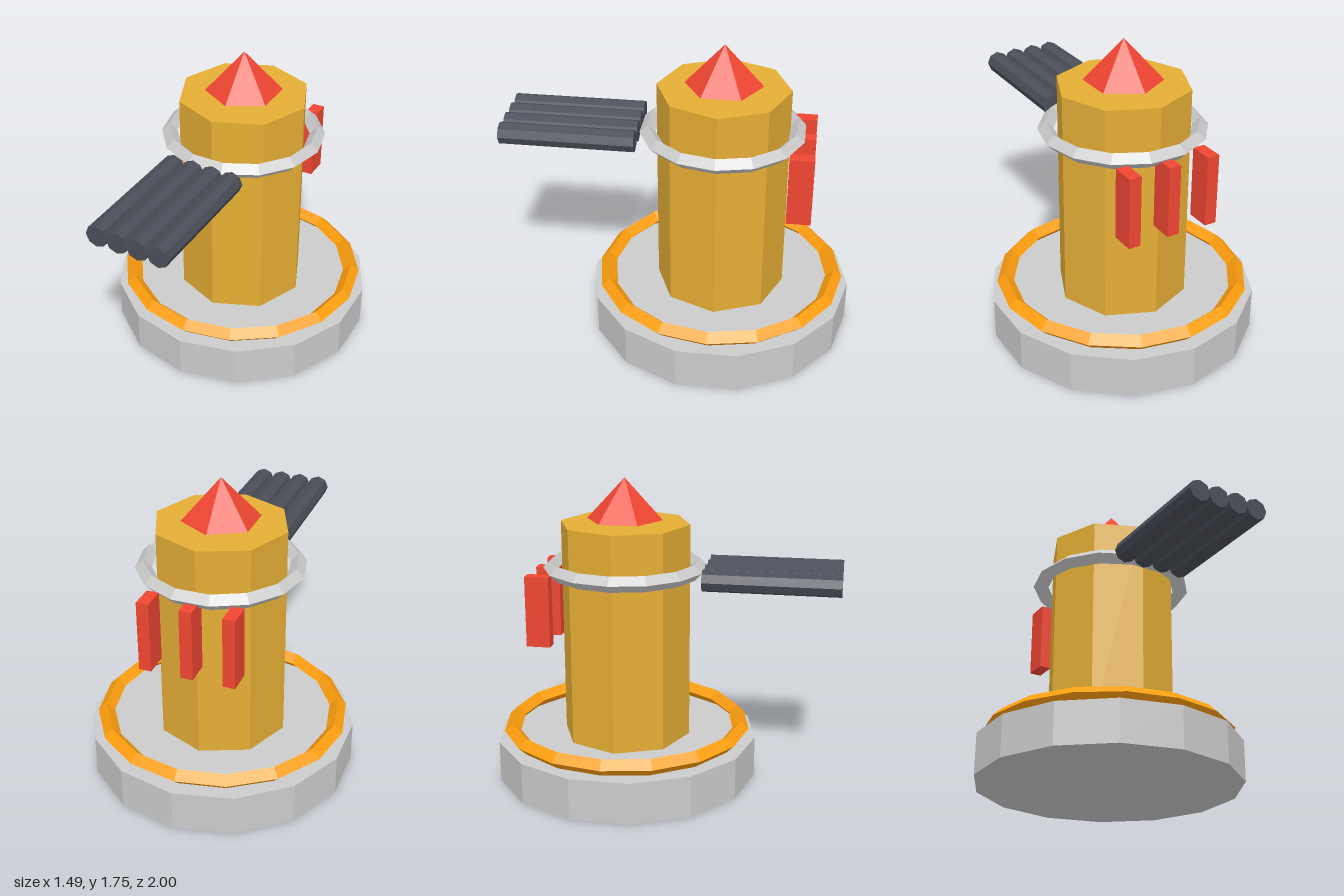
import * as THREE from 'three';

const AXIS_Z = -0.234; // the tower stands behind the centre, the barrels reach forward

const paint = (color) => new THREE.MeshStandardMaterial({ color, flatShading: true });
const grey = paint(0xcccccc);
const gold = paint(0xe5ae35);
const orange = paint(0xff9f0f);
const red = paint(0xf04632);
const gunmetal = paint(0x4a4e58);

export function createModel() {
  const model = new THREE.Group();

  const add = (name, geometry, material, x, y, z) => {
    const mesh = new THREE.Mesh(geometry, material);
    mesh.name = name;
    mesh.position.set(x, y, z);
    model.add(mesh);
    return mesh;
  };

  // Upright prism between two heights
  const prism = (name, radius, sides, bottom, top, material) =>
    add(name, new THREE.CylinderGeometry(radius, radius, top - bottom, sides),
      material, 0, (bottom + top) / 2, AXIS_Z);

  // Level ring with a diamond cross-section
  const ring = (name, radius, tube, sides, y, material) => {
    const mesh = add(name, new THREE.TorusGeometry(radius, tube, 4, sides), material, 0, y, AXIS_Z);
    mesh.rotation.x = Math.PI / 2;
  };

  // Base and tower
  prism('base', 0.766, 14, 0, 0.24, grey);
  ring('baseRing', 0.68, 0.048, 16, 0.292, orange);
  prism('tower', 0.375, 8, 0.24, 1.5, gold);
  ring('towerRing', 0.425, 0.045, 14, 1.245, grey);

  // Pointed cap, hovering just above the tower
  add('cap', new THREE.ConeGeometry(0.219, 0.236, 6), red, 0, 1.637, AXIS_Z);

  // Row of four barrels at the front
  const barrel = new THREE.CylinderGeometry(0.063, 0.063, 0.763, 8);
  barrel.rotateX(Math.PI / 2);
  for (let i = 0; i < 4; i++) {
    add('barrel' + (i + 1), barrel, gunmetal, (i - 1.5) * 0.12, 1.227, 0.6185);
  }

  // Three upright bars at the back
  const bar = new THREE.BoxGeometry(0.07, 0.407, 0.138);
  for (let i = 0; i < 3; i++) {
    add('backBar' + (i + 1), bar, red, (i - 1) * 0.238, 1.023, -0.686);
  }

  return model;
}
